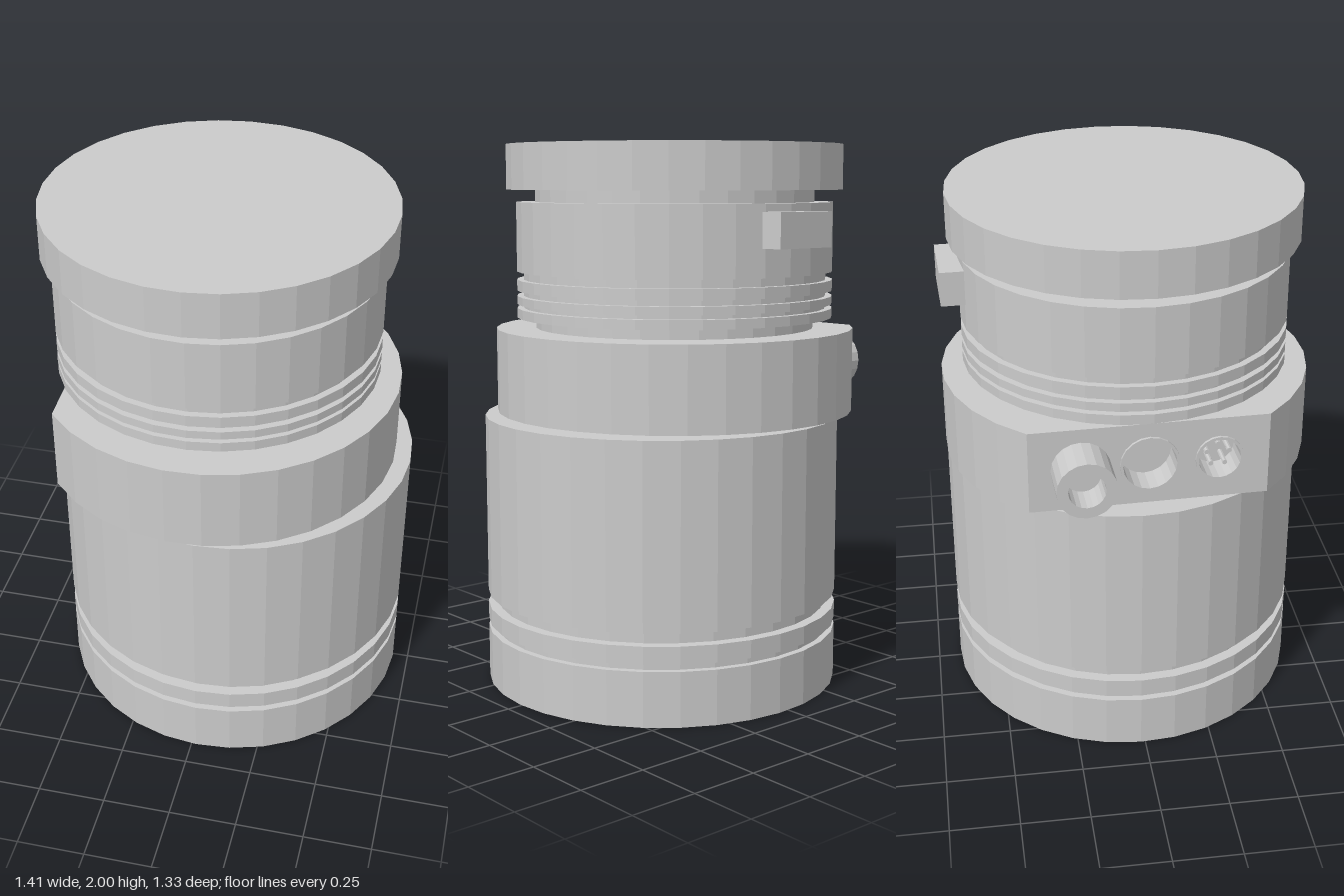
import * as THREE from 'three';

const material = new THREE.MeshStandardMaterial({ color: 0xcccccc, flatShading: true, side: THREE.DoubleSide });

// Faceted mesh with a name
function part(name, geometry, parent) {
  const g = geometry.index ? geometry.toNonIndexed() : geometry;
  g.computeVertexNormals();
  const mesh = new THREE.Mesh(g, material);
  mesh.name = name;
  parent.add(mesh);
  return mesh;
}

const lathe = (points, sides = 32) =>
  new THREE.LatheGeometry(points.map(([r, y]) => new THREE.Vector2(r, y)), sides);

// Turns a list of [radius, bottom, top] bands into a stepped profile
const bands = (list) => list.flatMap(([r, y0, y1]) => [[r, y0], [r, y1]]);

// Turned part whose axis points along +z
const turnedZ = (points, sides = 20) => lathe(points, sides).rotateX(Math.PI / 2);

const COLLAR = { r: 0.668, flat: 0.518, y0: 1.015, y1: 1.325 };

// Round collar with one side cut flat, facing -x, pierced by the sockets
function buildCollar(parent, sockets) {
  const { r, flat, y0, y1 } = COLLAR;
  const collar = new THREE.Group();
  collar.name = 'collar';
  parent.add(collar);

  const half = Math.acos(flat / r);
  const start = Math.PI * 1.5 + half;
  const length = Math.PI * 2 - half * 2;
  const steps = 25;
  const h = y1 - y0;
  const mid = (y0 + y1) / 2;
  part('collarWall', new THREE.CylinderGeometry(r, r, h, steps, 1, true, start, length), collar).position.y = mid;

  const outline = [];
  for (let i = 0; i <= steps; i++) {
    const t = start + (length * i) / steps;
    outline.push(new THREE.Vector2(r * Math.sin(t), -r * Math.cos(t)));
  }
  const face = () => new THREE.ShapeGeometry(new THREE.Shape(outline));
  part('collarTop', face().rotateX(-Math.PI / 2), collar).position.y = y1;
  part('collarBottom', face().rotateX(Math.PI / 2), collar).position.y = y0;

  // Flat panel
  const w = r * Math.sin(half);
  const panel = new THREE.Shape([[-w, -h / 2], [w, -h / 2], [w, h / 2], [-w, h / 2]]
    .map(([x, y]) => new THREE.Vector2(x, y)));
  for (const { x, radius } of sockets) {
    panel.holes.push(new THREE.Path().absarc(0 + x, 0, radius, 0, Math.PI * 2, true));
  }
  const panelGroup = new THREE.Group();
  panelGroup.name = 'connectorPanel';
  panelGroup.position.set(-flat, mid, 0);
  panelGroup.rotation.y = -Math.PI / 2;
  collar.add(panelGroup);
  part('panelFace', new THREE.ShapeGeometry(panel, 10), panelGroup);
  return panelGroup;
}

export function createModel() {
  const model = new THREE.Group();
  model.name = 'cameraBody';

  // Lower housing: open at the bottom, slightly off the upper axis
  const lower = part('lowerHousing', lathe([
    ...bands([
      [0.66, 0, 0.2], [0.635, 0.2, 0.225], [0.66, 0.225, 0.29],
      [0.62, 0.29, 0.335], [0.66, 0.335, 1.005],
    ]),
    [0, 1.005],
  ]), model);
  lower.position.set(0.031, 0, -0.003);
  lower.rotation.y = -0.02;

  const upper = new THREE.Group();
  upper.name = 'upperAssembly';
  upper.position.x = -0.037;
  upper.rotation.y = 0.036;
  model.add(upper);

  // Barrel with cooling grooves, and the cap on top
  part('barrel', lathe(bands([
    [0.52, 1.325, 1.365], [0.59, 1.365, 1.4], [0.565, 1.4, 1.415],
    [0.59, 1.415, 1.445], [0.565, 1.445, 1.465], [0.59, 1.465, 1.505],
    [0.565, 1.505, 1.535], [0.59, 1.535, 1.79], [0.52, 1.79, 1.835],
  ])), upper);
  part('cap', lathe([[0.52, 1.835], [0.625, 1.835], [0.625, 2], [0, 2]]), upper);

  // Block on the back of the barrel
  part('backBlock', new THREE.BoxGeometry(0.26, 0.125, 0.085), upper).position.set(0, 1.7, -0.62);

  // Connectors on the flat side of the collar
  const hollow = { x: 0, radius: 0.095 };
  const pinned = { x: 0.245, radius: 0.075 };
  const panel = buildCollar(upper, [hollow, pinned]);

  part('protrudingConnector', turnedZ([
    [0.105, 0], [0.105, 0.148], [0.065, 0.148], [0.065, 0.04], [0, 0.04],
  ]), panel).position.x = -0.24;

  for (const { x, radius } of [hollow, pinned]) {
    part('socket', turnedZ([
      [radius + 0.01, 0], [radius + 0.01, 0.01], [radius, 0.01], [radius, -0.1], [0, -0.1],
    ]), panel).position.x = x;
  }

  // Contact pins inside the outer socket
  for (let i = 0; i < 5; i++) {
    const a = (i / 5) * Math.PI * 2;
    const pin = part('contactPin', new THREE.CylinderGeometry(0.009, 0.009, 0.08, 8).rotateX(Math.PI / 2), panel);
    pin.position.set(pinned.x + 0.042 * Math.sin(a), 0.042 * Math.cos(a), -0.06);
  }

  return model;
}
